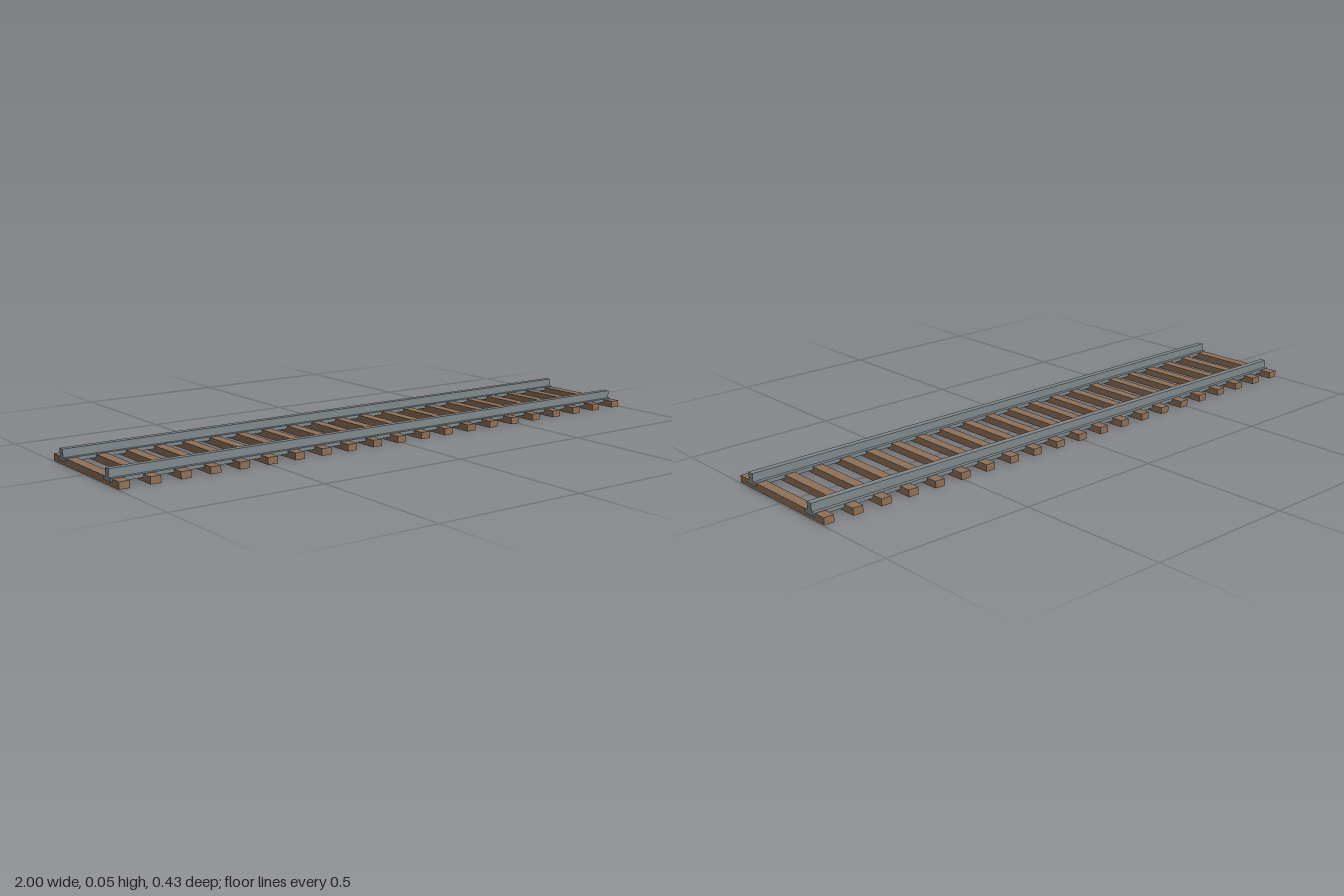
import * as THREE from 'three';

const LENGTH = 2;
const SLEEPERS = 21;
const SLEEPER = { width: 0.034, height: 0.0225, length: 0.43 };
const GAUGE = 0.302; // distance between rail centres

export function createModel() {
  const track = new THREE.Group();
  track.name = 'railwayTrack';

  const wood = new THREE.MeshStandardMaterial({ color: 0x8f7158 });
  const steel = new THREE.MeshStandardMaterial({ color: 0x81898d });

  // Wooden sleepers, evenly spaced and almost flush with the rail ends
  const sleepers = new THREE.Group();
  sleepers.name = 'sleepers';
  const sleeperGeometry = new THREE.BoxGeometry(SLEEPER.width, SLEEPER.height, SLEEPER.length);
  const span = LENGTH - SLEEPER.width - 0.008;
  for (let i = 0; i < SLEEPERS; i++) {
    const sleeper = new THREE.Mesh(sleeperGeometry, wood);
    sleeper.name = `sleeper${i + 1}`;
    sleeper.position.set((i / (SLEEPERS - 1) - 0.5) * span, SLEEPER.height / 2, 0);
    sleepers.add(sleeper);
  }
  track.add(sleepers);

  // Rail cross-section: wide foot let into the sleepers, narrow upright head
  const foot = 0.023, head = 0.0105;
  const bottom = 0.0125, step = 0.024, top = 0.05;
  const profile = new THREE.Shape([
    [-foot, bottom], [foot, bottom], [foot, step], [head, step],
    [head, top], [-head, top], [-head, step], [-foot, step],
  ].map(([x, y]) => new THREE.Vector2(x, y)));
  const railGeometry = new THREE.ExtrudeGeometry(profile, { depth: LENGTH, bevelEnabled: false });
  railGeometry.translate(0, 0, -LENGTH / 2).rotateY(Math.PI / 2);

  for (const [name, side] of [['frontRail', 1], ['backRail', -1]]) {
    const rail = new THREE.Mesh(railGeometry, steel);
    rail.name = name;
    rail.position.z = side * GAUGE / 2;
    track.add(rail);
  }

  return track;
}
